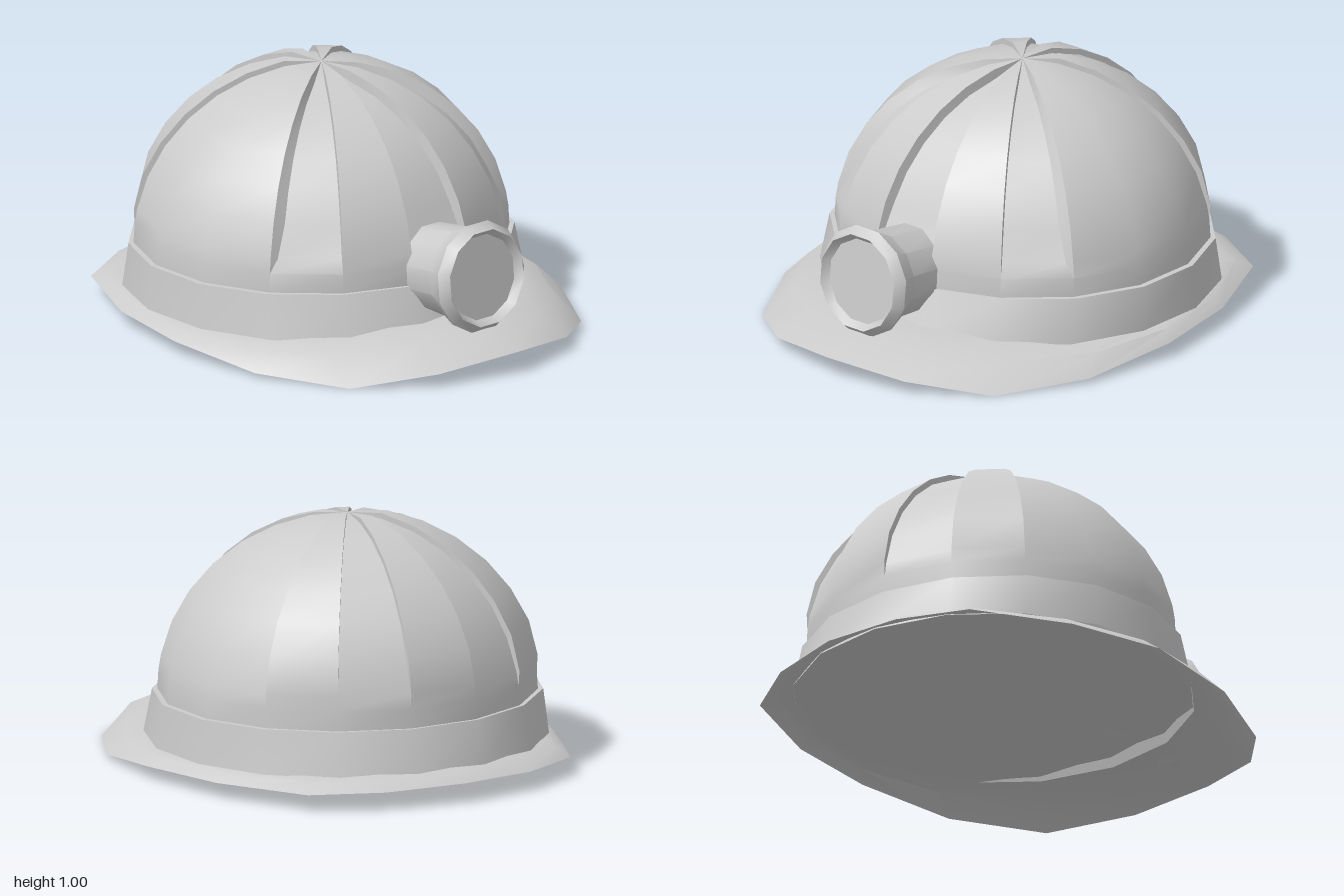
import * as THREE from 'three';
import { toCreasedNormals } from 'three/addons/utils/BufferGeometryUtils.js';

const SIDES = 16;
const CENTRE_Z = -0.14;
const STEP = (Math.PI * 2) / SIDES;

// Skin closed rings of [x, y, z] points, listed from bottom to top
function loft(rings, crease) {
  const n = rings[0].length;
  const index = [];
  for (let i = 0; i < rings.length - 1; i++) {
    for (let j = 0; j < n; j++) {
      const k = (j + 1) % n;
      const a = i * n + j, b = i * n + k, c = (i + 1) * n + k, d = (i + 1) * n + j;
      index.push(a, b, c, a, c, d);
    }
  }
  const geometry = new THREE.BufferGeometry();
  geometry.setAttribute('position', new THREE.Float32BufferAttribute(rings.flat(2), 3));
  geometry.setIndex(index);
  return toCreasedNormals(geometry, crease);
}

// Sixteen-sided oval ring, half a step off the front axis
function ovalRing(rx, rz, y, cz = CENTRE_Z) {
  return Array.from({ length: SIDES }, (_, k) => {
    const a = (k + 0.5) * STEP;
    return [rx * Math.sin(a), y, cz + rz * Math.cos(a)];
  });
}

// Dome: sunken panels at the front, raised panels at the back
function domeGeometry() {
  const offsets = new Array(SIDES).fill(0);
  for (const k of [14, 0, 2]) offsets[k] = -0.04;
  for (const k of [6, 8, 10]) offsets[k] = 0.022;
  // share of a step by which a sunken floor's [right, left] edge is drawn in, sloping its wall
  const insets = { 14: [0.14, 0], 0: [0.02, 0.02], 2: [0, 0.14] };
  // [elevation in degrees, share of the panel offset]
  const rows = [
    [-3, 0], [0, 0], [6.5, 0], [11.25, 0.6], [22.5, 1], [33.75, 1],
    [45, 1], [56.25, 1], [67.5, 1], [78.75, 1], [90, 0],
  ];
  const rings = rows.map(([deg, amount]) => {
    const e = THREE.MathUtils.degToRad(deg);
    const c = deg === 90 ? 0 : Math.cos(e);
    const ring = [];
    for (let k = 0; k < SIDES; k++) {
      const o = offsets[k] * amount;
      const [right, left] = insets[k] ?? [0, 0];
      // both edges of each panel, so steps between panels become walls
      for (const side of [-0.5 + right * amount, 0.5 - left * amount]) {
        const a = (k + side) * STEP;
        ring.push([
          (0.748 + o) * c * Math.sin(a),
          0.28 + (0.708 + o) * Math.sin(e),
          CENTRE_Z + (0.715 + o) * c * Math.cos(a),
        ]);
      }
    }
    return ring;
  });
  return loft(rings, 0.5);
}

// Brim: one thin sheet with a wavy outline, rising to a crest and closed across under the dome
function brimGeometry() {
  const half = [
    [0, 0.09, 1], [0.33, 0.055, 0.92], [0.6, 0, 0.7], [0.79, 0.02, 0.36], [0.85, 0.06, -0.04],
    [0.78, 0.065, -0.43], [0.6, 0.07, -0.81], [0.33, 0.075, -0.95], [0, 0.08, -1],
  ];
  const outer = [...half, ...half.slice(1, -1).reverse().map(([x, y, z]) => [-x, y, z])];
  const inner = outer.map((_, k) => {
    const c = Math.cos(k * STEP);
    const rise = c > 0 ? 0.045 * c ** 3 : 0.015 * c * c;
    return [0.75 * Math.sin(k * STEP), 0.11 + rise, -0.13 + 0.75 * c];
  });
  const crest = outer.map((p, k) => [
    THREE.MathUtils.lerp(p[0], inner[k][0], 0.45),
    THREE.MathUtils.lerp(p[1], inner[k][1], 0.75),
    THREE.MathUtils.lerp(p[2], inner[k][2], 0.45),
  ]);
  const centre = outer.map(() => [0, 0.12, CENTRE_Z]);
  return loft([outer, crest, inner, centre], 0.6);
}

// Lamp body of revolution along +z, tipped slightly upwards
function lampGeometry(profile) {
  const points = profile.map(([r, z]) => new THREE.Vector2(r, z));
  const geometry = new THREE.LatheGeometry(points, 12, Math.PI / 12);
  geometry.rotateX(Math.PI / 2 - 0.1);
  return toCreasedNormals(geometry, 0.56);
}

export function createModel() {
  const group = new THREE.Group();
  const material = new THREE.MeshStandardMaterial({ color: 0xcccccc, side: THREE.DoubleSide });
  const add = (name, geometry, parent = group) => {
    const mesh = new THREE.Mesh(geometry, material);
    mesh.name = name;
    parent.add(mesh);
  };

  add('dome', domeGeometry());
  add('brim', brimGeometry());

  // Band around the foot of the dome, with a narrow ledge on top
  add('band', loft([
    ovalRing(0.787, 0.785, 0.11, -0.13),
    ovalRing(0.772, 0.727, 0.285),
    ovalRing(0.735, 0.70, 0.285),
  ], 0.5));

  // Headlamp
  const lamp = new THREE.Group();
  lamp.name = 'headlamp';
  lamp.position.set(0, 0.348, 0.825);
  group.add(lamp);
  add('lampHousing', lampGeometry([
    [0.17, -0.4], [0.182, -0.13], [0.222, -0.04], [0.193, 0], [0.17, -0.03],
  ]), lamp);
  add('lampLens', lampGeometry([[0.17, -0.03], [0, -0.03]]), lamp);

  return group;
}
